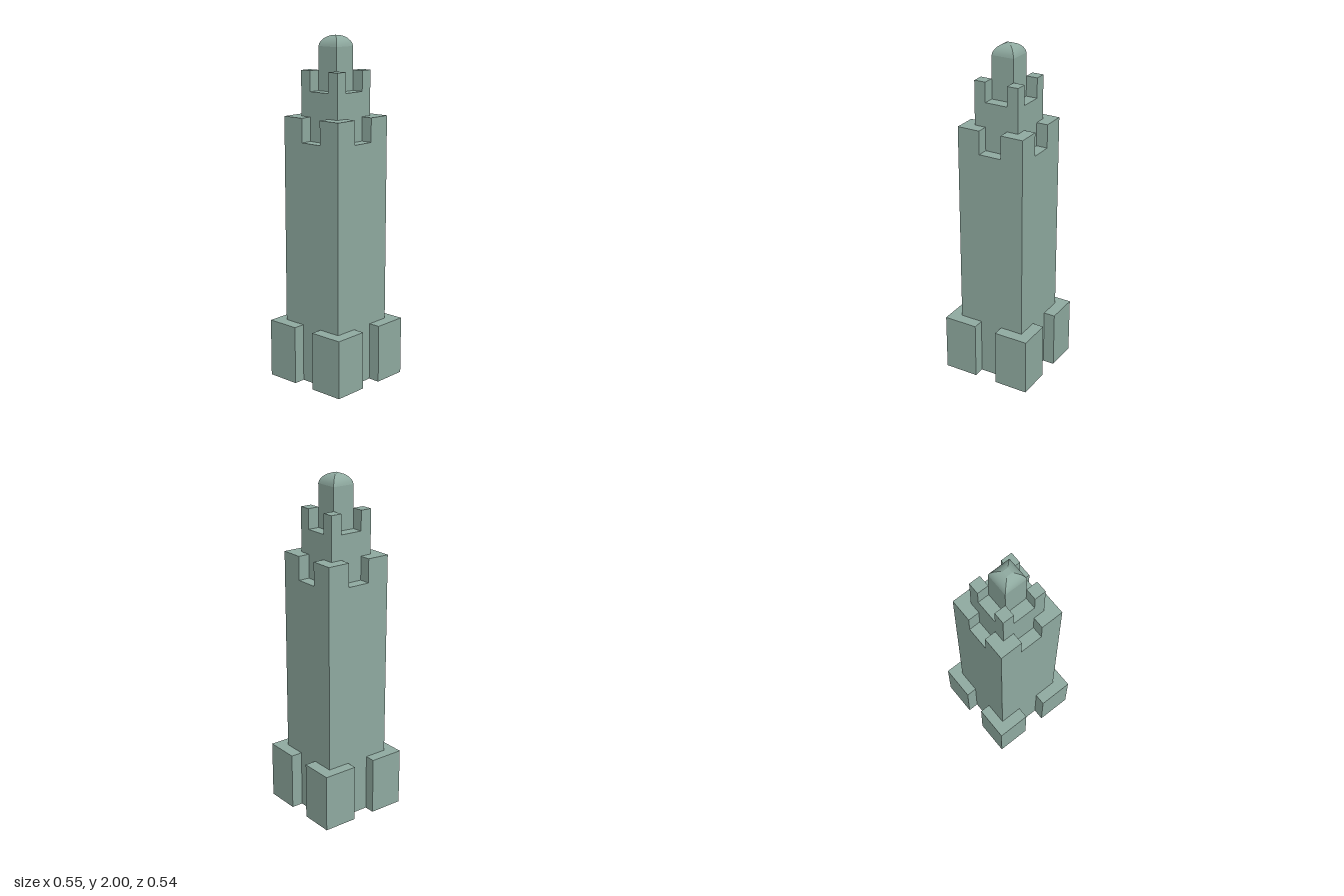
import * as THREE from 'three';

const CZ = -0.004; // the tower axis sits slightly behind the centre of the footprint
const GAP = 0.0685; // half width of every slot between corner blocks

export function createModel() {
  const tower = new THREE.Group();
  tower.name = 'tower';
  const stone = new THREE.MeshStandardMaterial({ color: 0x8faaa0 });
  stone.name = 'grey green stone';

  function add(name, geometry, parent = tower) {
    const mesh = new THREE.Mesh(geometry, stone);
    mesh.name = name;
    parent.add(mesh);
    return mesh;
  }

  function block(name, [x0, x1], [y0, y1], [z0, z1], parent) {
    const mesh = add(name, new THREE.BoxGeometry(x1 - x0, y1 - y0, z1 - z0), parent);
    mesh.position.set((x0 + x1) / 2, (y0 + y1) / 2, (z0 + z1) / 2);
  }

  // Square storey centred on the tower axis
  function storey(name, half, y) {
    block(name, [-half, half], y, [CZ - half, CZ + half]);
  }

  // Four corner blocks around a cross-shaped gap
  function corners(name, half, y, back = CZ - half, front = CZ + half) {
    const group = new THREE.Group();
    group.name = name + 's';
    tower.add(group);
    for (const x of [[-half, -GAP], [GAP, half]]) {
      block(name, x, y, [back, CZ - GAP], group);
      block(name, x, y, [CZ + GAP, front], group);
    }
  }

  // Stacked storeys with their buttresses and corner battlements
  corners('buttress', 0.274, [0, 0.342], -0.272, 0.27);
  storey('shaft', 0.205, [0, 1.412]);
  corners('shaftBattlement', 0.205, [1.412, 1.55]);
  storey('upperStorey', 0.137, [1.412, 1.692]);
  corners('upperBattlement', 0.137, [1.692, 1.808]);
  storey('lantern', GAP, [1.692, 1.94]);

  // Four-sided dome: each panel is smooth, with sharp ridges between panels
  const profile = [[GAP, 1.94], [0.065, 1.956], [0.057, 1.971], [0.046, 1.984], [0.032, 1.994], [0.017, 2]];
  const dome = new THREE.Group();
  dome.name = 'dome';
  dome.position.z = CZ;
  tower.add(dome);
  for (let side = 0; side < 4; side++) {
    const panel = new THREE.PlaneGeometry(2, 1, 1, profile.length - 1);
    const p = panel.attributes.position;
    for (let i = 0; i < p.count; i++) {
      const [half, y] = profile[profile.length - 1 - Math.floor(i / 2)];
      p.setXYZ(i, Math.sign(p.getX(i)) * half, y, half);
    }
    panel.computeVertexNormals();
    add('domePanel', panel, dome).rotation.y = side * Math.PI / 2;
  }
  const cap = add('domeCap', new THREE.PlaneGeometry(0.034, 0.034), dome);
  cap.rotation.x = -Math.PI / 2;
  cap.position.y = 2;

  return tower;
}
